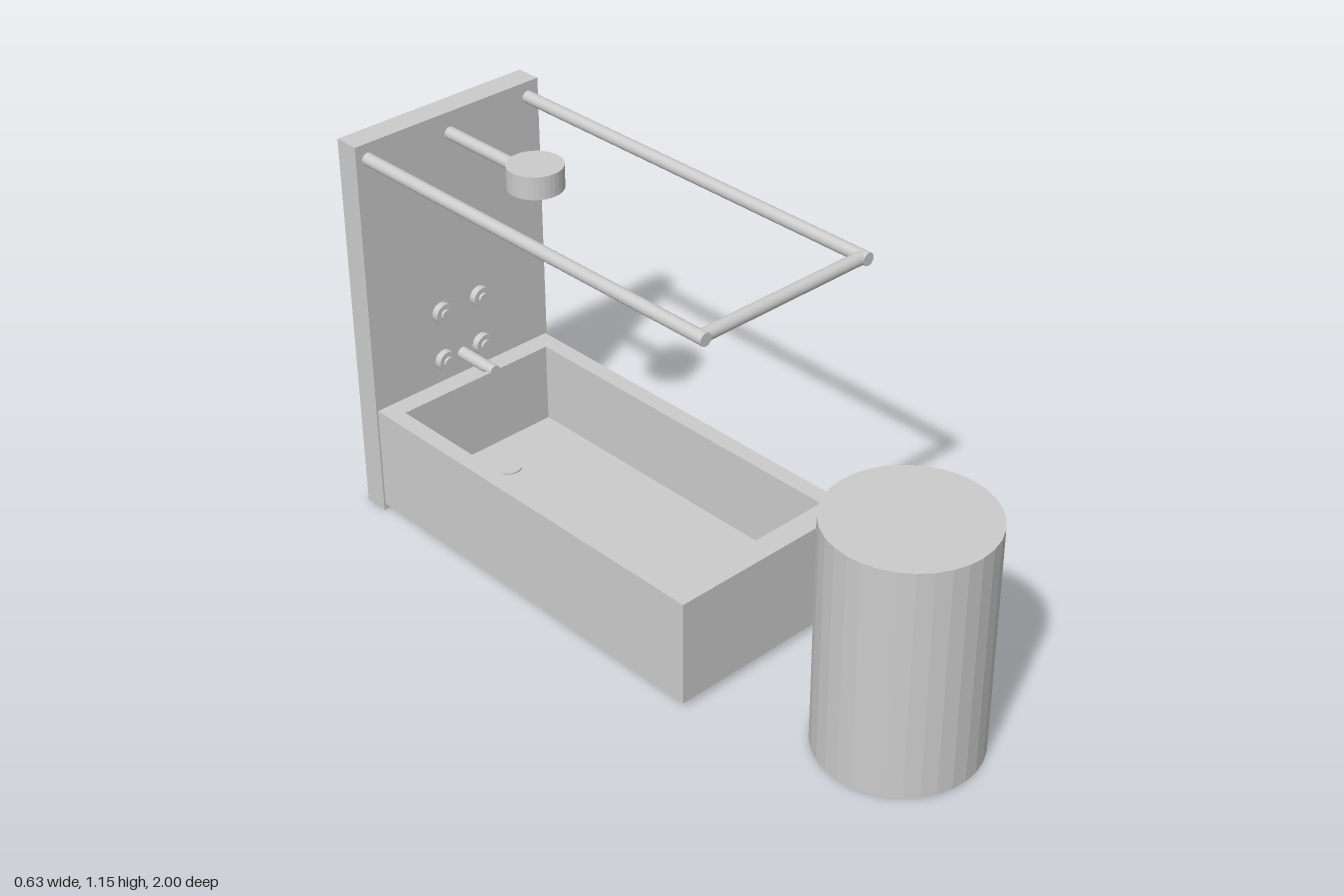
import * as THREE from 'three';

const material = new THREE.MeshStandardMaterial({ color: 0xcccccc, flatShading: true });
const thinMaterial = new THREE.MeshStandardMaterial({ color: 0xcccccc, flatShading: true, side: THREE.DoubleSide });

export function createModel() {
  const model = new THREE.Group();
  const WALL_Z = -0.925; // front face of the back panel

  function add(name, geometry, x = 0, y = 0, z = 0, mat = material) {
    const mesh = new THREE.Mesh(geometry, mat);
    mesh.name = name;
    mesh.position.set(x, y, z);
    model.add(mesh);
    return mesh;
  }

  // Round bar running along z from z0 to z1
  function rodZ(name, r, x, y, z0, z1, segments = 20) {
    const g = new THREE.CylinderGeometry(r, r, z1 - z0, segments).rotateX(Math.PI / 2);
    return add(name, g, x, y, (z0 + z1) / 2);
  }

  // Upright extrusion of a plan outline, from y = 0 to y = height
  function extrudeUp(shape, height) {
    return new THREE.ExtrudeGeometry(shape, { depth: height, bevelEnabled: false, curveSegments: 32 })
      .rotateX(-Math.PI / 2);
  }

  function rectangle(Type, x, z0, z1) {
    return new Type([[-x, -z1], [x, -z1], [x, -z0], [-x, -z0]].map(p => new THREE.Vector2(...p)));
  }

  // Back panel
  add('backPanel', new THREE.BoxGeometry(0.63, 1.155, 0.075), 0, 0.5775, -0.9625);

  // Tub: rim walls around a sunken floor
  const rim = rectangle(THREE.Shape, 0.31, WALL_Z, 0.315);
  rim.holes.push(rectangle(THREE.Path, 0.26, -0.865, 0.245));
  add('tubWalls', extrudeUp(rim, 0.315), 0, 0.02, 0);
  add('tubFloor', new THREE.BoxGeometry(0.52, 0.07, 1.11), 0, 0.055, -0.31);
  add('drain', new THREE.CylinderGeometry(0.042, 0.042, 0.006, 32), 0, 0.092, -0.745);

  // Curtain rail
  for (const side of [-1, 1]) rodZ('sideRail', 0.018, side * 0.277, 1.11, WALL_Z, 0.358);
  add('frontRail', new THREE.CylinderGeometry(0.018, 0.018, 0.554, 20).rotateZ(Math.PI / 2), 0, 1.11, 0.339);

  // Shower arm and head, with nozzle holes in the underside
  rodZ('showerArm', 0.018, 0, 1.093, WALL_Z, -0.64);
  add('showerHead', new THREE.CylinderGeometry(0.078, 0.078, 0.054, 32), 0, 1.101, -0.57);
  const plate = new THREE.Shape().absarc(0, 0, 0.078, 0, Math.PI * 2);
  for (let i = 0; i < 7; i++) {
    const a = i * Math.PI / 3;
    const r = i < 6 ? 0.045 : 0;
    plate.holes.push(new THREE.Path().absarc(r * Math.cos(a), r * Math.sin(a), 0.011, 0, Math.PI * 2, true));
  }
  const plateGeometry = new THREE.ExtrudeGeometry(plate, { depth: 0.012, bevelEnabled: false, curveSegments: 16 })
    .rotateX(-Math.PI / 2);
  add('nozzlePlate', plateGeometry, 0, 1.062, -0.57);

  // Four tap knobs: flange with a smaller boss
  for (const x of [-0.068, 0.068]) {
    for (const y of [0.56, 0.405]) {
      rodZ('tapFlange', 0.031, x, y, WALL_Z, -0.904);
      rodZ('tapBoss', 0.016, x, y, WALL_Z, -0.896);
    }
  }

  // Spout with an opening under its tip
  rodZ('spout', 0.018, 0, 0.398, WALL_Z, -0.82);
  const hood = new THREE.CylinderGeometry(0.018, 0.018, 0.04, 12, 1, true, Math.PI / 2, Math.PI)
    .rotateX(Math.PI / 2);
  add('spoutHood', hood, 0, 0.398, -0.8, thinMaterial);
  rodZ('spoutTip', 0.018, 0, 0.398, -0.79, -0.78);

  // Free-standing round stool
  add('stool', new THREE.CylinderGeometry(0.225, 0.225, 0.682, 32), 0, 0.344, 0.775);

  return model;
}
